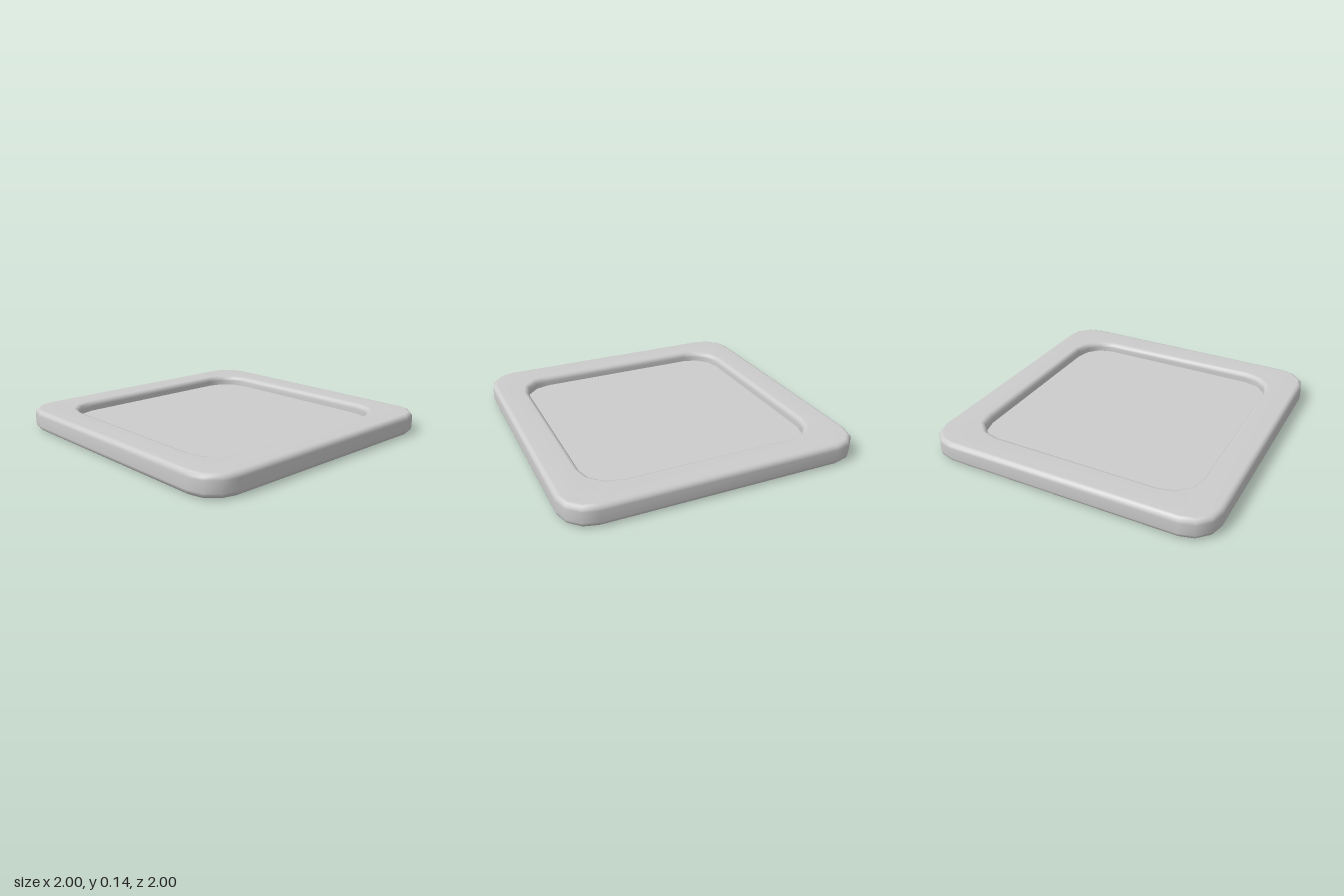
import * as THREE from 'three';

const CORNER_STEPS = 3;

// Rounded square loop: corner centres at +-c, corner radius r, height y
function ring([c, r, y]) {
  const points = [];
  for (let q = 0; q < 4; q++) {
    const mid = (q + 0.5) * Math.PI / 2;
    const cx = c * Math.sign(Math.cos(mid)), cz = c * Math.sign(Math.sin(mid));
    for (let k = 0; k <= CORNER_STEPS; k++) {
      const a = (q + k / CORNER_STEPS) * Math.PI / 2;
      points.push(cx + r * Math.cos(a), y, cz + r * Math.sin(a));
    }
  }
  return points;
}

// Skin a list of loops into one smooth surface
function loft(profile) {
  const n = 4 * (CORNER_STEPS + 1);
  const index = [];
  for (let i = 0; i < profile.length - 1; i++) {
    for (let j = 0; j < n; j++) {
      const a = i * n + j, b = i * n + (j + 1) % n;
      index.push(a, a + n, b, b, a + n, b + n);
    }
  }
  const geometry = new THREE.BufferGeometry();
  geometry.setAttribute('position', new THREE.Float32BufferAttribute(profile.flatMap(ring), 3));
  geometry.setIndex(index);
  geometry.computeVertexNormals();
  return geometry;
}

export function createModel() {
  const grey = new THREE.MeshStandardMaterial({ color: 0xcccccc });
  grey.name = 'light grey';

  const height = 0.143, floorY = 0.075, bevel = 0.035, steps = 3;
  const outer = 0.8, inner = 0.58, radius = 0.2;

  // Profile runs from the underside centre, up the outside, over the rim and down inside
  const profile = [[0, 0, 0]];
  const arc = (core, r, y, from) => {
    for (let k = 0; k <= steps; k++) {
      const a = from + (k / steps) * Math.PI / 2;
      profile.push([core, r + bevel * Math.cos(a), y + bevel * Math.sin(a)]);
    }
  };
  arc(outer, radius - bevel, bevel, -Math.PI / 2);
  arc(outer, radius - bevel, height - bevel, 0);
  arc(inner, radius + bevel, height - bevel, Math.PI / 2);
  profile.push([inner, radius, floorY]);

  const rim = new THREE.Mesh(loft(profile), grey);
  rim.name = 'trayBody';

  // Flat recessed floor, with a crisp edge against the rim
  const floor = new THREE.Mesh(loft([[inner, radius, floorY], [0, 0, floorY]]), grey);
  floor.name = 'trayFloor';

  const group = new THREE.Group();
  group.name = 'tray';
  group.add(rim, floor);
  return group;
}
